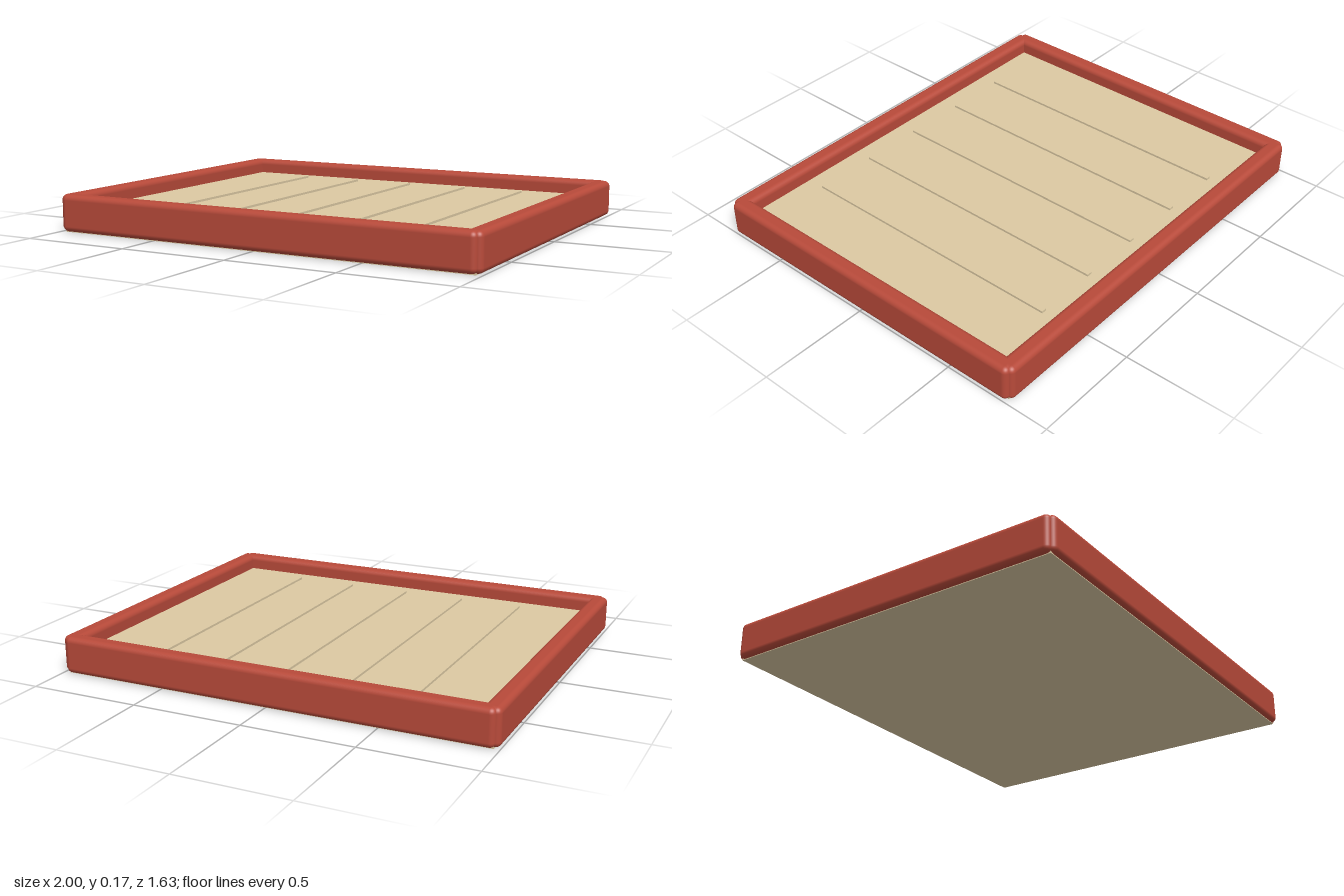
import * as THREE from 'three';
import { RoundedBoxGeometry } from 'three/addons/geometries/RoundedBoxGeometry.js';

export function createModel() {
  const group = new THREE.Group();
  const red = new THREE.MeshStandardMaterial({ color: 0xb84a3a });
  const tan = new THREE.MeshStandardMaterial({ color: 0xdcc9a3 });

  const add = (name, geometry, material, x, y, z) => {
    const mesh = new THREE.Mesh(geometry, material);
    mesh.name = name;
    mesh.position.set(x, y, z);
    group.add(mesh);
  };

  // Tray floor
  const floorTop = 0.1;
  add('floor', new THREE.BoxGeometry(1.95, floorTop, 1.59), tan, 0, floorTop / 2, 0);

  // Rounded rails, overlapping at the corners
  const railHeight = 0.164, railWidth = 0.078, radius = 0.024, railY = 0.085;
  for (const side of [1, -1]) {
    add(side > 0 ? 'frontRail' : 'backRail',
      new RoundedBoxGeometry(1.964, railHeight, railWidth, 4, radius), red,
      0, railY, side * (0.816 - railWidth / 2));
    add(side > 0 ? 'leftRail' : 'rightRail',
      new RoundedBoxGeometry(railWidth, railHeight, 1.6, 4, radius), red,
      side * (1 - railWidth / 2), railY, 0);
  }

  // Thin raised slats on the floor
  for (let i = -2; i <= 2; i++) {
    add('slat', new THREE.BoxGeometry(0.024, 0.016, 1.304), tan, i * 0.297, floorTop + 0.002, 0);
  }

  return group;
}
